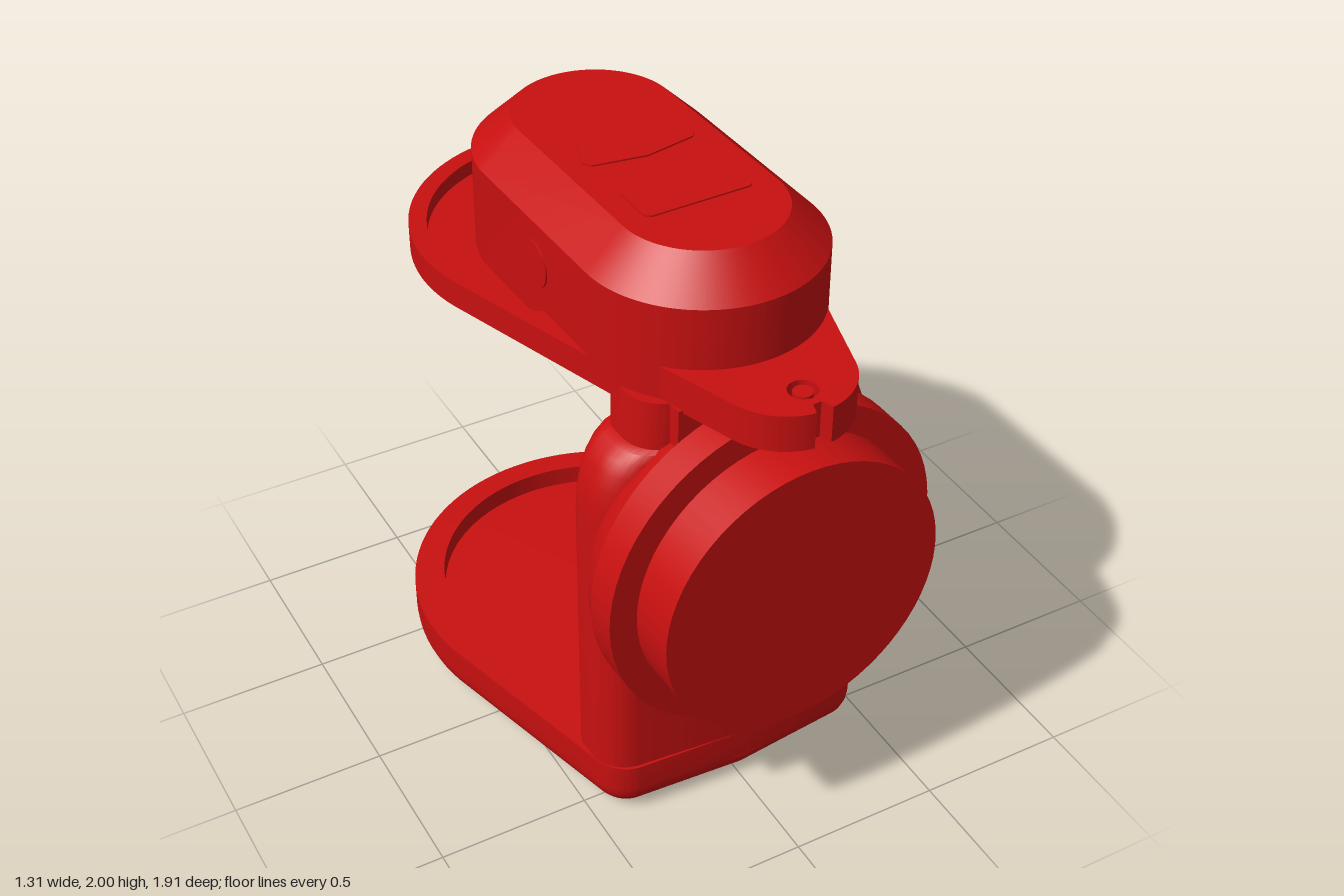
import * as THREE from 'three';
import { toCreasedNormals } from 'three/addons/utils/BufferGeometryUtils.js';

const N = 96;
const mat = new THREE.MeshStandardMaterial({ color: 0xc81010 });

// Convex outline in plan around a list of circles [x, z, r], shrunk by inset
function hull(circles, inset = 0) {
  const pts = [];
  for (let i = 0; i < N; i++) {
    const a = (i / N) * Math.PI * 2, nx = Math.cos(a), nz = Math.sin(a);
    let best = -Infinity, p;
    for (const [x, z, r] of circles) {
      const s = x * nx + z * nz + r, q = Math.max(r - inset, 0.002);
      if (s > best) { best = s; p = [x + q * nx, z + q * nz]; }
    }
    pts.push(p);
  }
  return pts;
}

// Mirrored pair of circles
const pair = (x, z, r) => [[x, z, r], [-x, z, r]];

// Skin over levels [circles, inset, y or y(z)], closed at both ends
function stack(levels) {
  const pos = [], idx = [];
  const put = (x, z, y) => pos.push(x, typeof y === 'function' ? y(z) : y, z);
  const rings = levels.map(([c, inset, y]) => {
    const pts = hull(c, inset);
    pts.forEach(([x, z]) => put(x, z, y));
    return { pts, y };
  });
  for (let i = 0; i < rings.length - 1; i++) {
    for (let j = 0; j < N; j++) {
      const a = i * N + j, b = i * N + (j + 1) % N;
      idx.push(a, a + N, b, b, a + N, b + N);
    }
  }
  [0, rings.length - 1].forEach((k) => {
    const { pts, y } = rings[k], c = pos.length / 3;
    const zs = pts.map((p) => p[1]);
    put(0, (Math.min(...zs) + Math.max(...zs)) / 2, y);
    for (let j = 0; j < N; j++) {
      const a = k * N + j, b = k * N + (j + 1) % N;
      if (k === 0) idx.push(c, a, b); else idx.push(c, b, a);
    }
  });
  const g = new THREE.BufferGeometry();
  g.setAttribute('position', new THREE.Float32BufferAttribute(pos, 3));
  g.setIndex(idx);
  return toCreasedNormals(g, 0.5);
}

// Flat plate from a plan outline, with an optional round hole [x, z, r]
function plate(pts, y0, y1, hole) {
  const s = new THREE.Shape(pts.map(([x, z]) => new THREE.Vector2(x, -z)));
  if (hole) s.holes.push(new THREE.Path().absarc(hole[0], -hole[1], hole[2], 0, Math.PI * 2));
  const g = new THREE.ExtrudeGeometry(s, { depth: y1 - y0, bevelEnabled: false, curveSegments: 16 });
  g.rotateX(-Math.PI / 2).translate(0, y0, 0);
  return toCreasedNormals(g, 0.5);
}

export function createModel() {
  const root = new THREE.Group();
  const body = new THREE.Group();
  body.name = 'body';
  body.rotation.y = 0.028;
  root.add(body);
  const add = (name, geo) => {
    const m = new THREE.Mesh(geo, mat);
    m.name = name;
    body.add(m);
    return m;
  };

  // Base with rounded underside and round recess
  const front = [...pair(0.36, 0.49, 0.12), [0, 0.52, 0.12]];
  const foot = [[0, -0.3, 0.655], ...front];
  const dish = [[0, -0.33, 0.54]];
  const base = [];
  for (let i = 0; i <= 6; i++) {
    const a = (i / 6) * Math.PI / 2;
    base.push([foot, 0.095 * (1 - Math.sin(a)), 0.095 * (1 - Math.cos(a))]);
  }
  add('base', stack([...base, [foot, 0, 0.19], [dish, 0, 0.19], [dish, 0, 0.12]]));

  // Upright column with shoulders drawn in towards the top
  const section = (w) => [...pair(w - 0.12, 0.48, 0.12), [0, 0.52, 0.12], ...pair(w - 0.07, 0.43, 0.07)];
  const column = [[section(0.48), 0, 0.08], [section(0.48), 0, 1.15]];
  for (let i = 1; i <= 6; i++) {
    const a = (i / 6) * Math.PI / 2;
    column.push([section(0.36 + 0.12 * Math.cos(a)), 0, 1.15 + 0.26 * Math.sin(a)]);
  }
  add('column', stack([...column, [section(0.35), 0, 1.57]]));

  // Spout housing with a slanted lower end
  const spout = [...pair(0.05, 0.25, 0.19), ...pair(0.2, 0.4, 0.08)];
  add('spout', stack([[spout, 0, (z) => 1.07 - (z - 0.06) * 1.23], [spout, 0, 1.51]]));

  // Round front drum: flared boss, wide ring, narrower cap
  const drum = [[0, 0.36], [0.39, 0.36], [0.43, 0.42], [0.53, 0.57], [0.545, 0.64], [0.56, 0.64],
    [0.56, 0.75], [0.47, 0.75], [0.47, 0.915], [0, 0.915]];
  const lathe = new THREE.LatheGeometry(drum.map((p) => new THREE.Vector2(...p)), 64);
  lathe.rotateX(Math.PI / 2).translate(0, 0.97, 0);
  add('frontDrum', toCreasedNormals(lathe, 0.5));

  // Upper tray with rim and sunken floor
  const tray = [[0, -0.375, 0.555], ...pair(0.24, 0.35, 0.12)];
  const floor = [[0, -0.37, 0.5], ...pair(0.36, 0, 0.05)];
  add('upperTray', stack([[tray, 0.02, 1.49], [tray, 0, 1.51], [tray, 0, 1.6], [floor, 0, 1.6], [floor, 0, 1.55]]));
  add('trayNozzle', new THREE.CylinderGeometry(0.21, 0.21, 0.08, 48)).position.set(0, 1.48, -0.32);

  // Rear latch with pin hole
  add('rearLatch', plate([[-0.15, -0.72], [-0.15, -0.89], [-0.03, -0.91], [0, -0.88], [0.03, -0.91],
    [0.15, -0.89], [0.15, -0.72]], 1.53, 1.602, [0, -0.83, 0.045]));

  // Front tongue with pin hole and notched tip, and the neck below it
  const tongue = hull([[0, 0.75, 0.21], ...pair(0.26, 0.3, 0.1)])
    .map(([x, z]) => (z > 0.9 && Math.abs(x) < 0.024 ? [x, 0.92] : [x, z]));
  add('frontTongue', plate(tongue, 1.56, 1.68, [0, 0.85, 0.045]));
  const pin = add('tonguePin', new THREE.CylinderGeometry(0.03, 0.03, 0.11, 24));
  pin.position.set(0, 1.62, 0.85);
  add('neck', new THREE.BoxGeometry(0.54, 0.18, 0.28)).position.set(0, 1.48, 0.5);

  // Capsule-shaped head with chamfered top
  const head = pair(0, 0, 0.375).map(([, , r], i) => [0, i ? 0.31 : -0.31, r]);
  add('head', stack([[head, 0, 1.54], [head, 0, 1.88], [head, 0.12, 1.995]]));

  // Control panels on top, and a round button on each flank
  add('frontPanel', plate(hull([...pair(0.155, 0.165, 0.025), ...pair(0.155, 0.285, 0.025)]), 1.99, 2));
  add('rearPanel', plate([[-0.19, -0.04], [-0.14, -0.17], [-0.11, -0.19], [0, -0.165], [0.11, -0.19],
    [0.14, -0.17], [0.19, -0.04], [0.17, -0.015], [0, 0.015], [-0.17, -0.015]].reverse(), 1.99, 2));
  const button = add('sideButton', new THREE.CylinderGeometry(0.075, 0.075, 0.02, 32));
  button.rotation.z = Math.PI / 2;
  button.position.set(-0.37, 1.74, 0);

  return root;
}
